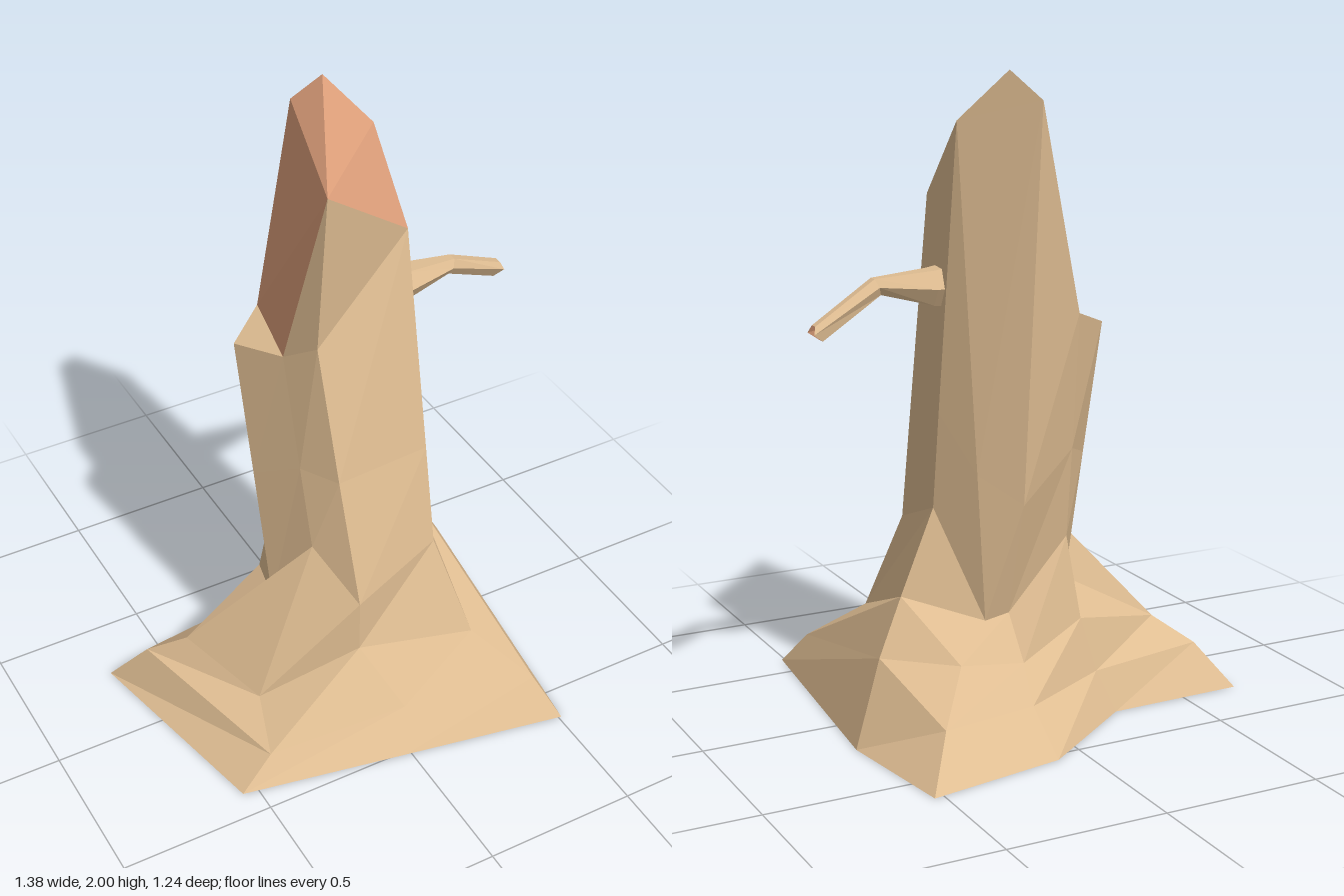
import * as THREE from 'three';

const v = (x, y, z) => new THREE.Vector3(x, y, z);

// Faceted mesh from a list of triangles
function facets(name, triangles, material) {
  const solid = triangles.filter((t) => new THREE.Triangle(...t).getArea() > 1e-7);
  const geometry = new THREE.BufferGeometry().setFromPoints(solid.flat());
  geometry.computeVertexNormals();
  const mesh = new THREE.Mesh(geometry, material);
  mesh.name = name;
  return mesh;
}

// Triangles joining closed rings, listed from the lowest up
function loft(rings) {
  const out = [];
  for (let r = 0; r + 1 < rings.length; r++) {
    const low = rings[r], high = rings[r + 1], n = low.length;
    for (let i = 0; i < n; i++) {
      const j = (i + 1) % n;
      out.push([low[i], low[j], high[j]], [low[i], high[j], high[i]]);
    }
  }
  return out;
}

export function createModel() {
  const bark = new THREE.MeshStandardMaterial({ color: 0xdfbd92 });
  bark.name = 'bark';
  const wood = new THREE.MeshStandardMaterial({ color: 0xdfa07b });
  wood.name = 'cutWood';
  for (const m of [bark, wood]) {
    m.side = THREE.DoubleSide;
    m.flatShading = true;
  }

  const group = new THREE.Group();
  group.name = 'treeStump';

  // Cross-sections, each running front left, front, front right, right,
  // back right, back, back left, left as seen from the front
  const ground = [
    v(-0.55, 0, 0.41), v(-0.02, 0, 0.513), v(0.51, 0, 0.615), v(0.59, 0, -0.2),
    v(0.53, 0, -0.62), v(0.09, 0, -0.54), v(-0.25, 0, -0.29), v(-0.695, 0, -0.28),
  ];
  const rootLow = [
    v(-0.43, 0.08, 0.37), v(0.03, 0.11, 0.42), v(0.46, 0.115, 0.51), v(0.485, 0.25, -0.14),
    v(0.415, 0.12, -0.455), v(0.1, 0.12, -0.4), v(-0.2, 0.13, -0.25), v(-0.595, 0.14, -0.19),
  ];
  const rootHigh = [
    v(-0.37, 0.14, 0.18), v(-0.06, 0.295, 0.28), v(0.32, 0.25, 0.345), v(0.39, 0.415, -0.09),
    v(0.29, 0.245, -0.3), v(0.08, 0.22, -0.3), v(-0.16, 0.3, -0.22), v(-0.49, 0.22, -0.1),
  ];
  const collar = [
    v(-0.145, 0.64, 0.125), v(-0.06, 0.48, 0.28), v(0.245, 0.57, 0.215), v(0.28, 0.68, -0.09),
    v(0.165, 0.34, -0.21), v(0.08, 0.35, -0.2), v(-0.13, 0.56, -0.18), v(-0.225, 0.36, 0),
  ];
  const middle = [
    v(-0.145, 0.9, 0.05), v(-0.075, 0.9, 0.172), v(0.247, 0.9, 0.147), v(0.277, 0.98, -0.127),
    v(0.195, 0.8, -0.22), v(0.075, 0.71, -0.29), v(-0.12, 0.85, -0.23), v(-0.225, 0.8, -0.11),
  ];

  // Corners of the broken top
  const frontTip = v(-0.08, 1.88, 0.11), frontLow = v(0.25, 1.62, 0), side = v(0.265, 1.855, -0.235);
  const peak = v(0.145, 2, -0.33), back = v(0.065, 1.915, -0.382), backLow = v(-0.1, 1.28, -0.305);
  const leftLow = v(-0.145, 1.26, -0.05), frontBend = v(-0.09, 1.34, 0.065), ledge = v(-0.225, 1.23, -0.22);
  const upper = [leftLow, frontBend, frontLow, side, side, back, backLow, ledge];

  group.add(facets('roots', loft([ground, rootLow, rootHigh, collar]), bark));
  group.add(facets('trunk', [
    ...loft([collar, middle, upper]),
    [frontTip, frontBend, frontLow],
    [frontTip, leftLow, frontBend],
    [leftLow, backLow, ledge],
    [side, back, peak],
  ], bark));

  // Exposed wood, fanned from the front tip
  const rim = [frontLow, side, peak, back, backLow, leftLow];
  group.add(facets('brokenTop', rim.slice(1).map((p, i) => [frontTip, rim[i], p]), wood));

  // Drooping side branch with a notched tip
  const branchRing = (x, y, z, r, lean = 0) => Array.from({ length: 6 }, (_, i) => {
    const a = (i / 6) * Math.PI * 2;
    return v(x + lean * Math.sin(a) * r, y + Math.sin(a) * r, z - Math.cos(a) * r);
  });
  const tip = branchRing(0.675, 1.262, -0.15, 0.026, 0.5);
  tip.forEach((p, i) => { p.x += i % 3 === 0 ? 0.012 : -0.008; });
  group.add(facets('branch', loft([
    branchRing(0.22, 1.36, -0.1, 0.07),
    branchRing(0.29, 1.358, -0.1, 0.06),
    branchRing(0.46, 1.372, -0.095, 0.028, 0.4),
    tip,
  ]), bark));
  const notch = v(0.645, 1.275, -0.145);
  group.add(facets('branchTip', tip.map((p, i) => [p, tip[(i + 1) % 6], notch]), wood));

  return group;
}
